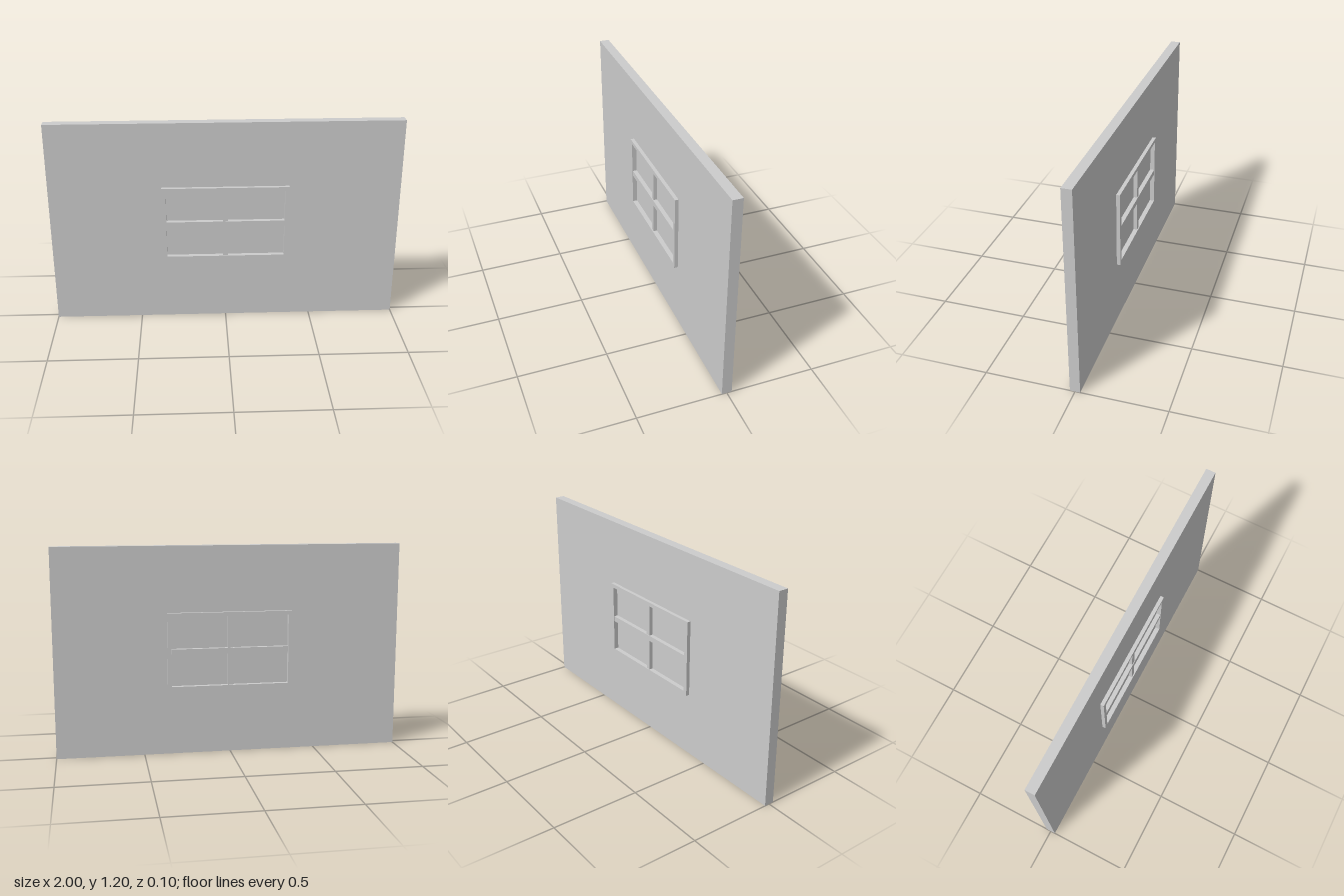
import * as THREE from 'three';

const material = new THREE.MeshStandardMaterial({ color: 0xcccccc, flatShading: true });
const CENTER_Y = 0.6;

function rectangle(PathType, w, h) {
  const p = new PathType();
  p.moveTo(-w / 2, -h / 2);
  p.lineTo(w / 2, -h / 2);
  p.lineTo(w / 2, h / 2);
  p.lineTo(-w / 2, h / 2);
  p.closePath();
  return p;
}

// Rectangular slab with a rectangular opening, centred in depth
function ring(name, w, h, holeW, holeH, depth) {
  const shape = rectangle(THREE.Shape, w, h);
  shape.holes.push(rectangle(THREE.Path, holeW, holeH));
  const geometry = new THREE.ExtrudeGeometry(shape, { depth, bevelEnabled: false });
  geometry.translate(0, 0, -depth / 2);
  return part(name, geometry);
}

function part(name, geometry) {
  const mesh = new THREE.Mesh(geometry, material);
  mesh.name = name;
  mesh.position.y = CENTER_Y;
  return mesh;
}

export function createModel() {
  const model = new THREE.Group();
  model.name = 'wallWithWindow';

  // Wall panel, cut out for the window
  model.add(ring('wall', 2, 1.2, 0.7, 0.424, 0.056));

  // Window: frame, pane and crossing glazing bars
  const window = new THREE.Group();
  window.name = 'window';
  window.add(
    ring('windowFrame', 0.724, 0.446, 0.678, 0.402, 0.098),
    part('windowPane', new THREE.BoxGeometry(0.69, 0.414, 0.044)),
    part('verticalBar', new THREE.BoxGeometry(0.028, 0.41, 0.086)),
    part('horizontalBar', new THREE.BoxGeometry(0.676, 0.032, 0.094)),
  );
  model.add(window);
  return model;
}
